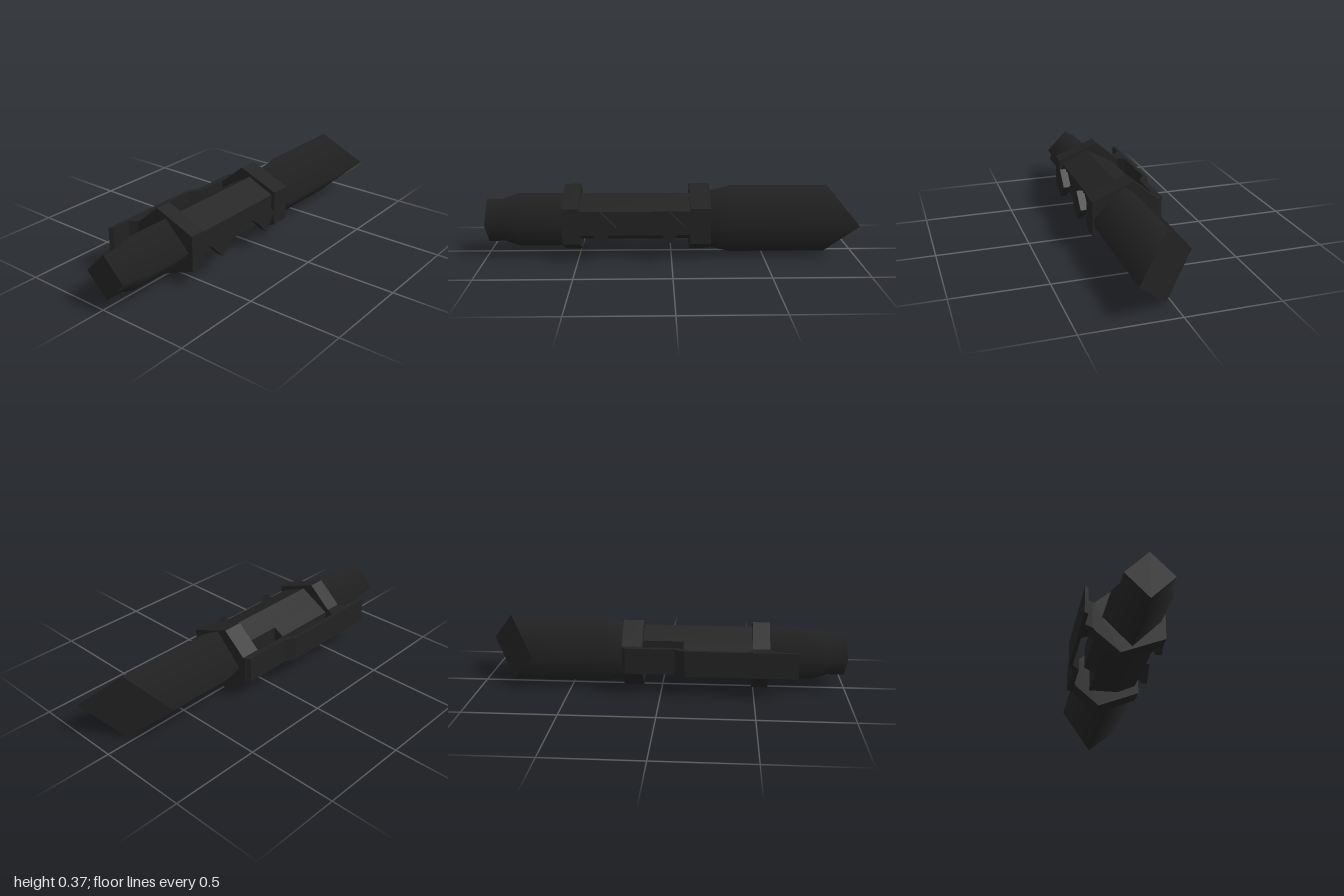
import * as THREE from 'three';

const CY = 0.187, CZ = 0.03; // centre line of the tubes

export function createModel() {
  const model = new THREE.Group();
  const black = new THREE.MeshStandardMaterial({ color: 0x222222 });
  black.name = 'matte black';

  const add = (name, geometry) => {
    const mesh = new THREE.Mesh(geometry, black);
    mesh.name = name;
    model.add(mesh);
    return mesh;
  };
  const extrude = (pts, depth) => new THREE.ExtrudeGeometry(
    new THREE.Shape(pts.map(p => new THREE.Vector2(p[0], p[1]))),
    { depth, bevelEnabled: false });

  // Profile of [z, y] points, extruded along x
  const along = (name, pts, x0, x1) => {
    const g = extrude(pts.map(([z, y]) => [-z, y]), x1 - x0);
    g.rotateY(Math.PI / 2).translate(x0, 0, 0);
    return add(name, g);
  };
  // Plan of [x, z] points, extruded along y
  const upward = (name, pts, y0, y1) => {
    const g = extrude(pts.map(([x, z]) => [x, -z]), y1 - y0);
    g.rotateX(-Math.PI / 2).translate(0, y0, 0);
    return add(name, g);
  };

  // Four-sided tube from [radius, x] points, smooth around its length
  const tube = (name, pts) => {
    const g = new THREE.LatheGeometry(pts.map(p => new THREE.Vector2(p[0], p[1])), 4);
    g.rotateZ(-Math.PI / 2);
    return add(name, g.translate(0, CY, CZ));
  };
  const cap = (name, radius, x, side) => {
    const g = new THREE.CircleGeometry(radius, 4);
    g.rotateY(side * Math.PI / 2);
    return add(name, g.translate(x, CY, CZ));
  };
  // Slants everything at the emitter end back along z
  const slant = (mesh) => {
    const p = mesh.geometry.attributes.position;
    for (let i = 0; i < p.count; i++) {
      if (p.getX(i) > 0.8) p.setX(i, p.getX(i) + 0.8 * (p.getZ(i) - CZ));
    }
  };

  // Pommel
  tube('pommel', [[0.12, -1], [0.12, -0.91], [0.148, -0.83], [0.148, -0.57]]);
  cap('pommelEnd', 0.12, -1, -1);

  // Emitter with a slanted mouth
  slant(tube('emitter', [[0.157, 0.2], [0.187, 0.32], [0.187, 0.85]]));
  const mouth = cap('emitterMouth', 0.187, 0.85, 1);
  slant(mouth);
  mouth.geometry.computeVertexNormals();

  // Collars
  const collar = [[0.2, 0.092], [0.2, 0.284], [-0.027, 0.374], [-0.157, 0.262],
    [-0.157, 0.112], [-0.027, 0.002]];
  along('rearCollar', collar, -0.58, -0.49);
  along('frontCollar', collar, 0.1, 0.21);

  // Grip, with a deeper back on its rear half
  along('grip', [[0.18, 0.135], [0.18, 0.265], [0.03, 0.333], [-0.08, 0.273],
    [-0.08, 0.09], [0.08, 0.09]], -0.49, 0.1);
  along('gripBack', [[-0.08, 0.09], [-0.08, 0.273], [-0.14, 0.24], [-0.14, 0.125]],
    -0.49, -0.12);

  // Diamond buttons on short stems
  for (const x of [-0.375, -0.01]) {
    for (const [name, r, z0, z1] of [['buttonStem', 0.065, 0.17, 0.195], ['button', 0.083, 0.19, 0.225]]) {
      const s = [[r, 0], [0, r], [-r, 0], [0, -r]];
      add(name, extrude(s, z1 - z0).translate(x, CY, z0));
    }
  }

  // Lever plate and its two mounts on the back
  upward('lever', [[-0.73, -0.225], [-0.13, -0.225], [-0.075, -0.195], [0.19, -0.195],
    [0.21, -0.165], [-0.09, -0.165], [-0.145, -0.205], [-0.715, -0.205]], 0.122, 0.262);
  upward('rearMount', [[-0.61, -0.205], [-0.465, -0.205], [-0.49, -0.165], [-0.49, -0.15],
    [-0.58, -0.15], [-0.58, -0.165]], 0.122, 0.262);
  upward('frontMount', [[0.1, -0.17], [0.21, -0.17], [0.21, -0.15], [0.1, -0.15]], 0.122, 0.262);

  return model;
}
